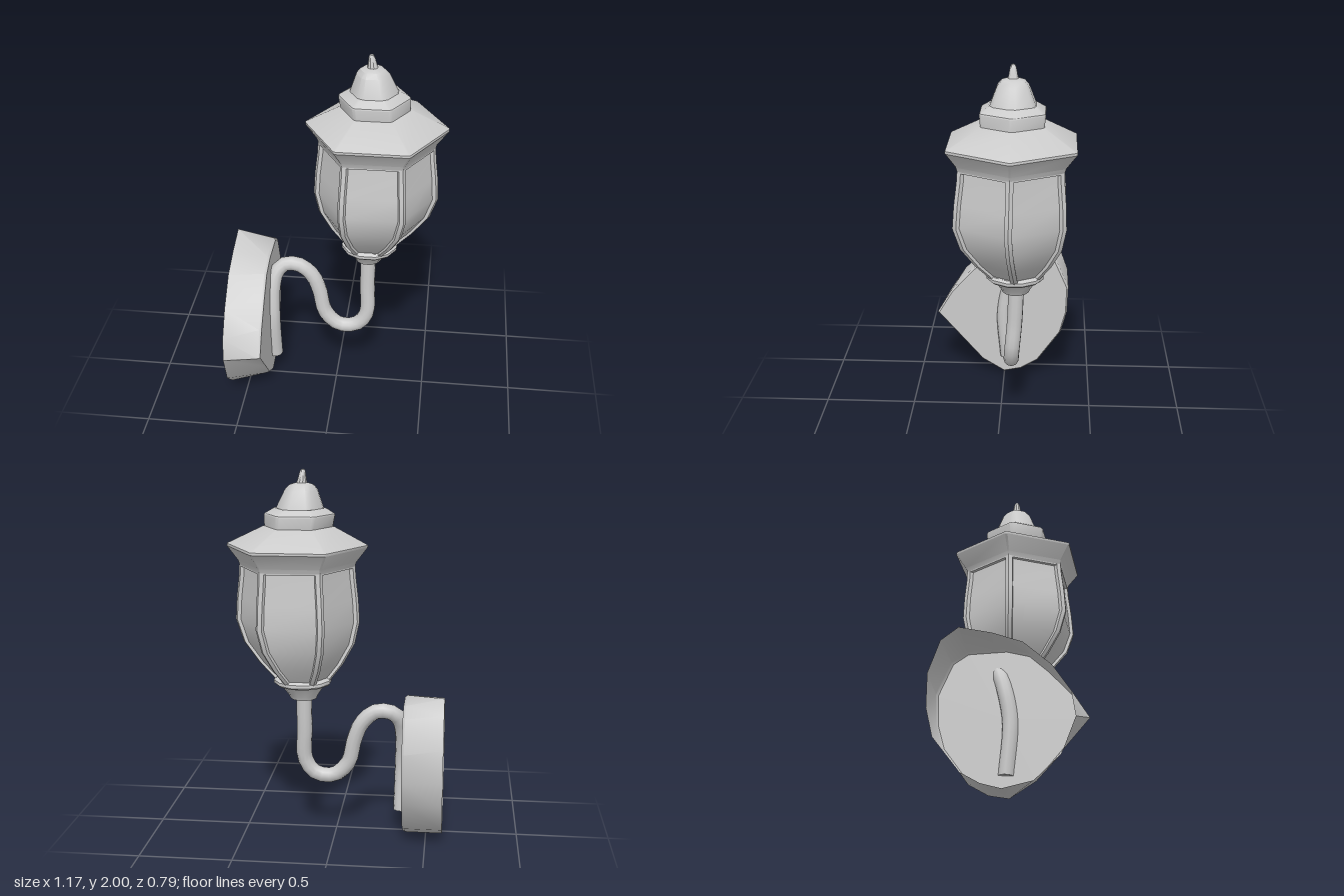
import * as THREE from 'three';
import { toCreasedNormals } from 'three/addons/utils/BufferGeometryUtils.js';

const V = (x, y, z) => new THREE.Vector3(x, y, z);

// Lantern axis: it leans slightly, [y, x, z]
const AXIS = [
  [0.78, 0.169, -0.085], [0.88, 0.175, -0.082], [1.08, 0.196, -0.065], [1.2, 0.204, -0.058],
  [1.6, 0.203, -0.066], [1.75, 0.188, -0.068], [1.85, 0.181, -0.068], [2, 0.168, -0.067],
];
function axisAt(y) {
  let i = 0;
  while (i < AXIS.length - 2 && y > AXIS[i + 1][0]) i++;
  const a = AXIS[i], b = AXIS[i + 1];
  const t = THREE.MathUtils.clamp((y - a[0]) / (b[0] - a[0]), 0, 1);
  return V(a[1] + (b[1] - a[1]) * t, y, a[2] + (b[2] - a[2]) * t);
}

// Corner k of a regular n-sided ring around the axis
function corner(y, r, k, n = 6) {
  const t = (k / n) * Math.PI * 2;
  return axisAt(y).add(V(Math.cos(t) * r, 0, -Math.sin(t) * r));
}

// Polygon ring, each corner cut back by a fraction of the edge
function ring(y, r, cut = 0, n = 6) {
  const pts = [];
  for (let k = 0; k < n; k++) {
    const c = corner(y, r, k, n);
    if (!cut) { pts.push(c); continue; }
    pts.push(c.clone().lerp(corner(y, r, k - 1, n), cut), c.clone().lerp(corner(y, r, k + 1, n), cut));
  }
  return pts;
}

// Skin a stack of equal-length rings, with optional end caps
function loft(rings, capStart = true, capEnd = true, crease = 0.55) {
  const pos = [];
  const tri = (...p) => p.forEach((q) => pos.push(q.x, q.y, q.z));
  const n = rings[0].length;
  for (let i = 0; i < rings.length - 1; i++) {
    for (let j = 0; j < n; j++) {
      const k = (j + 1) % n;
      const a = rings[i][j], b = rings[i][k], c = rings[i + 1][k], d = rings[i + 1][j];
      tri(a, b, c);
      tri(a, c, d);
    }
  }
  const cap = (r, flip) => {
    const m = r.reduce((s, p) => s.add(p), V(0, 0, 0)).divideScalar(n);
    r.forEach((p, j) => (flip ? tri(m, r[(j + 1) % n], p) : tri(m, p, r[(j + 1) % n])));
  };
  if (capStart) cap(rings[0], true);
  if (capEnd) cap(rings[rings.length - 1], false);
  const g = new THREE.BufferGeometry();
  g.setAttribute('position', new THREE.Float32BufferAttribute(pos, 3));
  return toCreasedNormals(g, crease);
}

export function createModel() {
  const model = new THREE.Group();
  const mat = new THREE.MeshStandardMaterial({ color: 0xcccccc });
  const thin = new THREE.MeshStandardMaterial({ color: 0xcccccc, side: THREE.DoubleSide });
  const add = (name, geo, m = mat, parent = model) => {
    const mesh = new THREE.Mesh(geo, m);
    mesh.name = name;
    parent.add(mesh);
    return mesh;
  };
  const stack = (name, rows, cut, n) => add(name, loft(rows.map(([y, r]) => ring(y, r, cut, n))));

  // Wall plate: hollow shell, open at the back; outlines as [z, y]
  const back = [
    [-0.22, 0.835], [-0.31, 0.77], [-0.37, 0.6], [-0.37, 0.42], [-0.335, 0.27], [-0.2, 0.09], [-0.1, 0.03], [0, 0],
    [0.15, 0.03], [0.28, 0.15], [0.35, 0.33], [0.33, 0.46], [0.24, 0.6], [0.1, 0.73], [-0.05, 0.79],
  ].reverse();
  const front = [
    [-0.22, 0.79], [-0.3, 0.74], [-0.375, 0.57], [-0.37, 0.41], [-0.335, 0.28], [-0.2, 0.09], [-0.1, 0.03], [0, 0.01],
    [0.13, 0.09], [0.26, 0.24], [0.395, 0.395], [0.315, 0.53], [0.2, 0.66], [0.1, 0.755], [-0.02, 0.79],
  ].reverse();
  const outline = (pts, x, s = 1) => pts.map(([z, y]) => V(x, 0.4 + (y - 0.4) * s, z * s));
  add('wallPlate', loft([outline(back, -0.59), outline(front, -0.388), outline(front, -0.375, 0.975)], false, true, 0.7), thin);

  // Swan-neck arm
  const path = new THREE.CatmullRomCurve3([
    V(-0.36, 0.13, -0.02), V(-0.365, 0.4, 0), V(-0.365, 0.58, -0.03), V(-0.345, 0.67, -0.06), V(-0.3, 0.71, -0.08),
    V(-0.22, 0.71, -0.08), V(-0.145, 0.645, -0.08), V(-0.105, 0.55, -0.075), V(-0.07, 0.41, -0.065),
    V(0.01, 0.335, -0.06), V(0.11, 0.345, -0.06), V(0.165, 0.42, -0.065), V(0.167, 0.6, -0.08), V(0.167, 0.81, -0.088),
  ], false, 'centripetal');
  add('arm', new THREE.TubeGeometry(path, 40, 0.042, 12, false));
  const end = add('armEnd', new THREE.CircleGeometry(0.042, 12));
  end.position.copy(path.getPoint(0));
  end.lookAt(end.position.clone().sub(path.getTangent(0)));

  // Socket and rim below the lantern
  stack('socket', [[0.78, 0.08], [0.8, 0.09], [0.85, 0.13], [0.87, 0.13]], 0.27);
  stack('rim', [[0.858, 0.16], [0.868, 0.172], [0.885, 0.172], [0.895, 0.155]], 0.25);

  // Lantern body: recessed panes and a frame of bars, profile as [y, r]
  const profile = [[0.88, 0.15], [0.97, 0.228], [1.08, 0.3], [1.2, 0.333], [1.32, 0.326], [1.44, 0.312], [1.51, 0.308]];
  const depth = 0.02;
  stack('panes', profile.map(([y, r]) => [y, r - depth]), 0);
  const frame = new THREE.Group();
  frame.name = 'frame';
  model.add(frame);
  for (let k = 0; k < 6; k++) {
    const bar = profile.map(([y, r]) => {
      const w = 0.022 / r, ri = r - depth * 1.5;
      const at = (rad, side) => corner(y, rad, k).lerp(corner(y, rad, k + side), w);
      return [corner(y, r, k), at(r, 1), at(ri, 1), corner(y, ri, k), at(ri, -1), at(r, -1)];
    });
    add('frameBar', loft(bar), mat, frame);
  }
  stack('topBand', [[1.488, 0.285], [1.489, 0.308], [1.515, 0.31]], 0);

  // Roof with flared eave, collar, dome and finial
  stack('roof', [[1.495, 0.308], [1.52, 0.317], [1.597, 0.376], [1.61, 0.376], [1.705, 0.188]], 0.02);
  stack('collar', [[1.695, 0.184], [1.765, 0.191], [1.772, 0.188], [1.8, 0.14]], 0.06);
  stack('dome', [[1.79, 0.138], [1.81, 0.13], [1.895, 0.092], [1.92, 0.068], [1.93, 0.035]], 0.16);
  stack('finial', [[1.92, 0.03], [1.945, 0.024], [1.985, 0.016], [1.997, 0.01], [2, 0.003]], 0, 10);

  return model;
}
